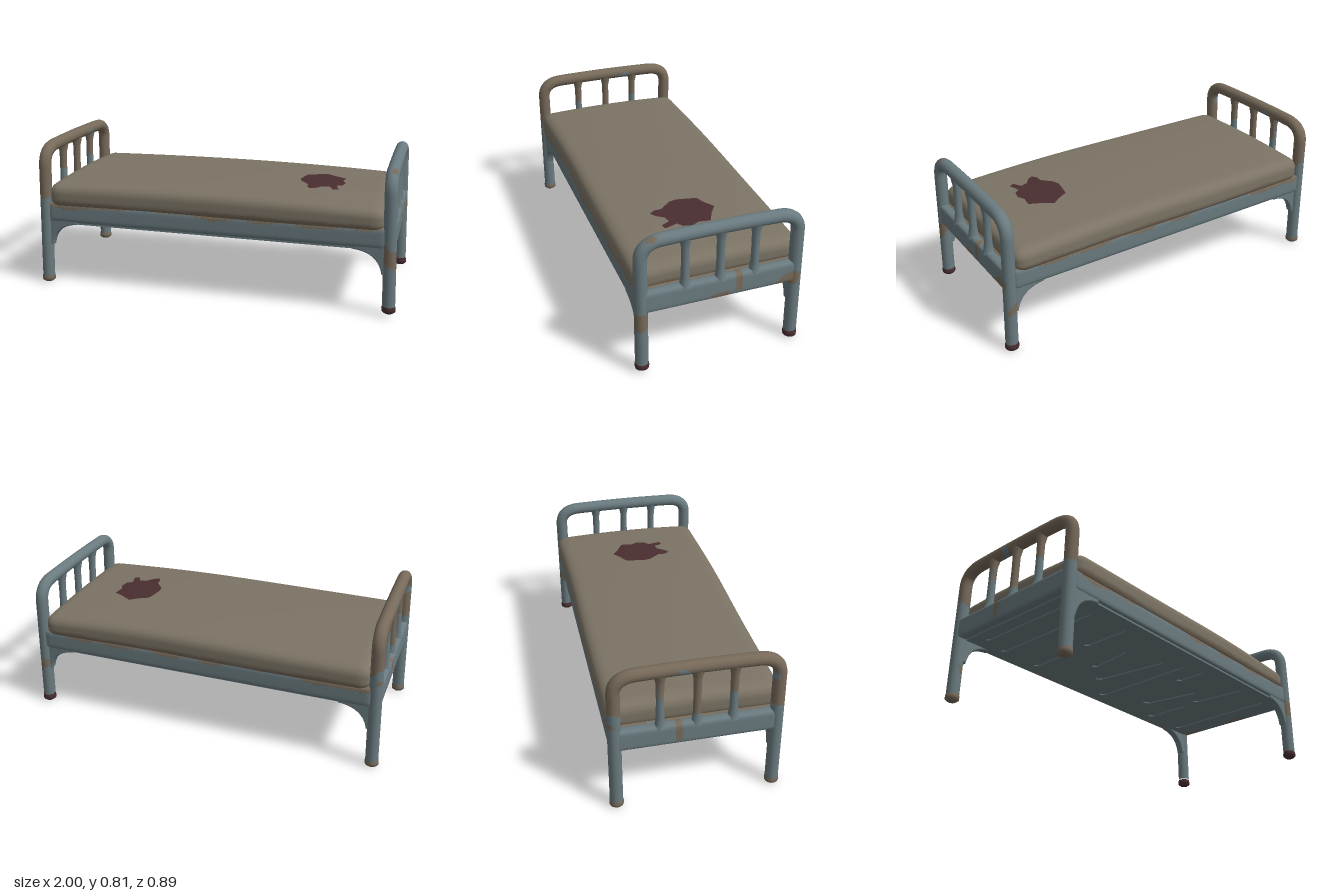
import * as THREE from 'three';
import { mergeVertices } from 'three/addons/utils/BufferGeometryUtils.js';

const mat = (name, color) => {
  const m = new THREE.MeshStandardMaterial({ color });
  m.name = name;
  return m;
};

// Smooth waviness used for patch edges, about -1 to 1
const wave = (x, y, z) =>
  (Math.sin(x * 9 + y * 13 + 1) + Math.sin(z * 15 - y * 11 + x * 5) + Math.sin(x * 23 + z * 19 + y * 29)) / 3;

// Moves every vertex of a geometry by a rule
function move(geo, rule) {
  const p = geo.attributes.position;
  const v = new THREE.Vector3();
  for (let i = 0; i < p.count; i++) {
    rule(v.fromBufferAttribute(p, i));
    p.setXYZ(i, v.x, v.y, v.z);
  }
  return geo;
}

// Sorts faces into two material groups by a test on the face centre
function paint(geo, test) {
  const p = geo.attributes.position;
  const sets = [[], []];
  const c = new THREE.Vector3(), v = new THREE.Vector3();
  for (let i = 0; i < geo.index.count; i += 3) {
    const f = [0, 1, 2].map((k) => geo.index.getX(i + k));
    c.set(0, 0, 0);
    f.forEach((k) => c.add(v.fromBufferAttribute(p, k)));
    c.divideScalar(3);
    sets[test(c) ? 1 : 0].push(...f);
  }
  geo.setIndex([...sets[0], ...sets[1]]);
  geo.clearGroups();
  geo.addGroup(0, sets[0].length, 0);
  geo.addGroup(sets[0].length, sets[1].length, 1);
  return geo;
}

// Subdivided box with rounded edges and smooth normals
function softBox(w, h, d, r, segs, rule) {
  let g = new THREE.BoxGeometry(w, h, d, ...segs);
  g.deleteAttribute('uv');
  g.deleteAttribute('normal');
  g = mergeVertices(g);
  const lim = new THREE.Vector3(w / 2 - r, h / 2 - r, d / 2 - r);
  const neg = lim.clone().negate();
  move(g, (v) => {
    const inner = v.clone().clamp(neg, lim);
    const off = v.clone().sub(inner);
    if (off.length() > r) v.copy(inner).add(off.setLength(r));
    rule(v);
  });
  g.computeVertexNormals();
  return g;
}

// Height of the mattress top, lower toward the foot end
const topY = (x, z) => 0.604 - x * x * (x > 0 ? 0.03 : 0.012) - 0.012 * (z / 0.4) ** 2;

export function createModel() {
  const bed = new THREE.Group();
  bed.name = 'metalBed';

  const steel = mat('paintedSteel', 0x6a7b80);
  const rust = mat('rust', 0x776a5a);
  const cloth = mat('mattressCloth', 0x7c7465);
  const dark = mat('darkStain', 0x4a2e30);
  dark.side = THREE.DoubleSide;

  const add = (name, geo, material, parent = bed) => {
    const m = new THREE.Mesh(geo, material);
    m.name = name;
    parent.add(m);
    return m;
  };

  // Mattress with a worn lower band
  const mattress = softBox(1.85, 0.16, 0.88, 0.06, [70, 12, 40], (v) => {
    const t = (v.y + 0.08) / 0.16;
    v.y = 0.44 + t * (topY(v.x, v.z) - 0.44);
    v.z += 0.006 * Math.sin(v.x * 5) * Math.abs(v.z) - 0.004;
  });
  add('mattress', paint(mattress, (c) => c.y < 0.485 + 0.014 * wave(c.x, 0, c.z)), [cloth, rust]);

  // Side rails and bed base
  const base = softBox(1.88, 0.115, 0.862, 0.022, [80, 8, 40], (v) => {
    v.y += 0.417;
    v.z -= 0.004;
  });
  add('rails', paint(base, (c) => c.y > 0.455 + 0.022 * wave(c.x, 0.3, c.z)), [steel, rust]);

  // Slotted underside: x, z start, z end, width, slant
  const under = new THREE.Shape([[-0.93, -0.412], [0.93, -0.412], [0.93, 0.412], [-0.93, 0.412]]
    .map((p) => new THREE.Vector2(...p)));
  const slots = [
    [0.8, -0.34, 0.34, 0.03, 0], [0.52, -0.34, -0.06, 0.05, 0], [0.52, 0.02, 0.34, 0.04, 0.03],
    [0.33, -0.22, 0.12, 0.06, 0.06], [0.2, 0.14, 0.34, 0.04, 0], [0.06, -0.34, 0.3, 0.05, 0],
    [-0.12, -0.2, 0.24, 0.05, 0.06], [-0.26, -0.1, 0.18, 0.04, -0.03], [-0.48, -0.34, -0.05, 0.035, 0],
    [-0.48, 0.05, 0.34, 0.035, 0], [-0.72, -0.34, 0.34, 0.03, 0], [-0.86, -0.3, 0.3, 0.02, 0],
  ];
  for (const [x, z0, z1, w, s] of slots) {
    under.holes.push(new THREE.Path([
      [x - w / 2, z0 + 0.02], [x, z0], [x + w / 2, z0 + 0.02],
      [x + s + w / 2, z1 - 0.02], [x + s, z1], [x + s - w / 2, z1 - 0.02],
    ].map((p) => new THREE.Vector2(...p))));
  }
  const underGeo = new THREE.ExtrudeGeometry(under, { depth: 0.022, bevelEnabled: false });
  add('slottedUnderside', underGeo.rotateX(Math.PI / 2).translate(0, 0.374, 0), steel);

  // Head (-x) and foot (+x) frames
  const V = (z, y) => new THREE.Vector3(0, y, z);
  for (const side of [-1, 1]) {
    const head = side < 0;
    const frame = new THREE.Group();
    frame.name = head ? 'headFrame' : 'footFrame';
    bed.add(frame);
    const top = head ? 0.777 : 0.742;
    const low = head ? 0.005 : 0.015;
    const Z = 0.406, R = 0.1;
    const lean = (v) => { v.x += side * (0.963 - 0.028 * v.y); };
    const rusty = (c) => (head && c.y > 0.5 && wave(c.x, c.y, c.z) > -0.05 - 0.3 * (c.y > 0.7)) ||
      wave(c.x, c.y, c.z) > 0.62;

    // Legs and arched top in one tube
    const path = new THREE.CurvePath();
    path.add(new THREE.LineCurve3(V(Z, low + 0.03), V(Z, top - R)));
    path.add(new THREE.QuadraticBezierCurve3(V(Z, top - R), V(Z, top - 0.012), V(Z - R, top - 0.003)));
    path.add(new THREE.QuadraticBezierCurve3(V(Z - R, top - 0.003), V(0, top + 0.006), V(R - Z, top - 0.003)));
    path.add(new THREE.QuadraticBezierCurve3(V(R - Z, top - 0.003), V(-Z, top - 0.012), V(-Z, top - R)));
    path.add(new THREE.LineCurve3(V(-Z, top - R), V(-Z, low + 0.03)));
    const arch = move(new THREE.TubeGeometry(path, 150, 0.034, 14), lean);
    add('archedTube', paint(arch, rusty), [steel, rust], frame);

    // Rounded feet
    const footProfile = [[0, 0], [0.024, 0.002], [0.036, 0.012], [0.037, 0.026], [0.034, 0.04]]
      .map((p) => new THREE.Vector2(...p));
    for (const s of [-1, 1]) {
      const foot = new THREE.LatheGeometry(footProfile, 16);
      foot.translate(0, head || s < 0 ? 0 : low, s * Z);
      const low2 = move(foot, lean);
      add('foot', low2, head ? rust : dark, frame);
    }

    // Upright bars flaring into the tube and the panel
    const y0 = 0.455, y1 = top, barProfile = [[0.034, y0], [0.026, y0 + 0.02], [0.021, y0 + 0.06],
      [0.02, (y0 + y1) / 2], [0.021, y1 - 0.07], [0.028, y1 - 0.035], [0.032, y1 - 0.015]]
      .map((p) => new THREE.Vector2(...p));
    for (const z of [-0.182, 0, 0.182]) {
      const bar = move(new THREE.LatheGeometry(barProfile, 12).translate(0, 0, z), lean);
      add('uprightBar', paint(bar, rusty), [steel, rust], frame);
    }

    // End panel joining the legs
    const panel = softBox(0.056, 0.118, 0.82, 0.02, [4, 10, 60], (v) => {
      v.y += 0.413;
      lean(v);
    });
    add('endPanel', paint(panel, (c) => rusty(c) || (Math.abs(c.z + 0.09) < 0.015 && c.y > 0.375)),
      [steel, rust], frame);

    // Curved brackets under the rails
    const bracket = new THREE.Shape();
    bracket.moveTo(side * 0.95, 0.41);
    bracket.lineTo(side * 0.77, 0.41);
    bracket.lineTo(side * 0.77, 0.356);
    bracket.quadraticCurveTo(side * 0.9, 0.345, side * 0.922, 0.23);
    bracket.lineTo(side * 0.95, 0.23);
    bracket.closePath();
    for (const s of [-1, 1]) {
      const g = new THREE.ExtrudeGeometry(bracket, {
        depth: 0.028, bevelEnabled: true, bevelSize: 0.006, bevelThickness: 0.008, bevelSegments: 2, curveSegments: 10,
      });
      add('legBracket', g.translate(0, 0, s * 0.4 - 0.014), steel, frame);
    }
  }

  // Stain lying on the mattress top (x, z outline)
  const outline = [
    [0.54, -0.14], [0.6, -0.1], [0.66, -0.07], [0.65, -0.01], [0.67, 0.03], [0.66, 0.08], [0.63, 0.1],
    [0.65, 0.17], [0.62, 0.18], [0.61, 0.13], [0.56, 0.14], [0.53, 0.18], [0.5, 0.2], [0.48, 0.17],
    [0.48, 0.13], [0.43, 0.07], [0.42, 0.03], [0.43, -0.03], [0.44, -0.08], [0.5, -0.11],
  ];
  const n = outline.length, rings = 5;
  const stain = new THREE.RingGeometry(0, 1, n, rings);
  for (let j = 0, k = 0; j <= rings; j++) {
    for (let i = 0; i <= n; i++, k++) {
      const [ox, oz] = outline[(n - i) % n];
      const x = 0.545 + (ox - 0.545) * j / rings, z = 0.02 + (oz - 0.02) * j / rings;
      stain.attributes.position.setXYZ(k, x, topY(x, z) + 0.003, z);
    }
  }
  stain.computeVertexNormals();
  add('stain', stain, dark);

  return bed;
}
